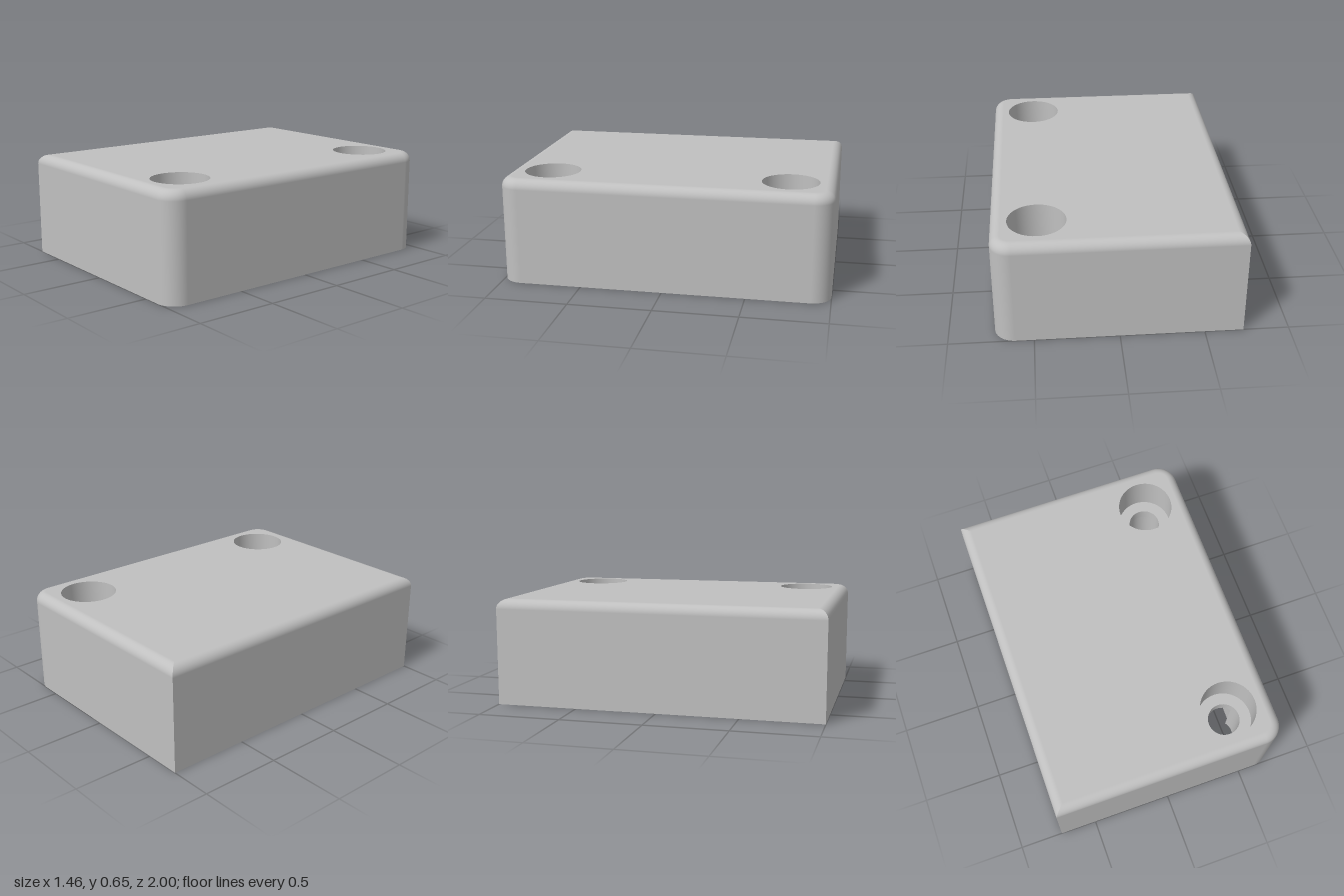
import * as THREE from 'three';
import { toCreasedNormals } from 'three/addons/utils/BufferGeometryUtils.js';

const HALF_X = 0.73, HALF_Z = 1, HEIGHT = 0.65;
const FILLET = 0.06, CORNER = 0.12;
const HOLE = { x: 0.46, z: 0.73, r: 0.1, boreR: 0.172, floor: 0.4 };
const POCKET = { x0: -0.7, x1: 0.565, z: 0.67, top: 0.32 };

const v2 = (x, z) => new THREE.Vector2(x, z);

// Points on an arc in the x-z plane
function arc(cx, cz, r, from, to, steps) {
  return Array.from({ length: steps + 1 }, (_, i) => {
    const a = from + (to - from) * i / steps;
    return v2(cx + r * Math.cos(a), cz + r * Math.sin(a));
  });
}

// Complete a loop from its +z half
const mirrorZ = (half) => [...half, ...half.map((p) => v2(p.x, -p.y)).reverse()];

// Body outline with outward directions: square at -x, rounded at +x
function bodyOutline(inset) {
  const a = HALF_X - inset, b = HALF_Z - inset, r = CORNER - inset;
  const half = [
    { p: v2(-a, b), n: v2(-1, 0) },
    { p: v2(-a, b), n: v2(0, 1) },
  ];
  for (let i = 0; i <= 12; i++) {
    const t = Math.PI / 2 * (1 - i / 12), n = v2(Math.cos(t), Math.sin(t));
    half.push({ p: v2(a - CORNER + inset + r * n.x, b - CORNER + inset + r * n.y), n });
  }
  const mirrored = half.map(({ p, n }) => ({ p: v2(p.x, -p.y), n: v2(n.x, -n.y) }));
  return [...half, ...mirrored.reverse()];
}

// Outer walls with the rounded upper edge
function shellGeometry() {
  const rings = [{ y: 0, inset: 0, t: 0 }];
  for (let i = 0; i <= 10; i++) {
    const t = Math.PI / 2 * i / 10;
    rings.push({ y: HEIGHT - FILLET * (1 - Math.sin(t)), inset: FILLET * (1 - Math.cos(t)), t });
  }
  const pos = [], nor = [], idx = [];
  let count = 0;
  rings.forEach(({ y, inset, t }, j) => {
    const loop = bodyOutline(inset);
    count = loop.length;
    loop.forEach(({ p, n }, i) => {
      pos.push(p.x, y, p.y);
      nor.push(n.x * Math.cos(t), Math.sin(t), n.y * Math.cos(t));
      if (j === 0) return;
      const k = (i + 1) % count, lo = (j - 1) * count, hi = j * count;
      idx.push(lo + i, lo + k, hi + k, lo + i, hi + k, hi + i);
    });
  });
  const g = new THREE.BufferGeometry();
  g.setAttribute('position', new THREE.Float32BufferAttribute(pos, 3));
  g.setAttribute('normal', new THREE.Float32BufferAttribute(nor, 3));
  g.setIndex(idx);
  return g;
}

// Upright wall around an opening, facing inwards
function innerWall(points, y0, y1) {
  const pos = [];
  points.forEach((a, i) => {
    const b = points[(i + 1) % points.length];
    pos.push(a.x, y0, a.y, b.x, y1, b.y, b.x, y0, b.y);
    pos.push(a.x, y0, a.y, a.x, y1, a.y, b.x, y1, b.y);
  });
  const g = new THREE.BufferGeometry();
  g.setAttribute('position', new THREE.Float32BufferAttribute(pos, 3));
  return toCreasedNormals(g, 0.5);
}

// Flat horizontal face with openings
function plate(points, holes, y, up) {
  const shape = new THREE.Shape(points);
  holes.forEach((h) => shape.holes.push(new THREE.Path(h)));
  return new THREE.ShapeGeometry(shape).rotateX(up ? -Math.PI / 2 : Math.PI / 2).translate(0, y, 0);
}

// Pocket outline, with each screw hole either added to it or cut from it
function pocketOutline(addHoles) {
  const bite = Math.asin((HOLE.z - POCKET.z) / HOLE.r);
  const end = addHoles ? -bite : 2 * Math.PI - bite;
  return mirrorZ([
    v2(POCKET.x0, POCKET.z),
    ...arc(HOLE.x, HOLE.z, HOLE.r, Math.PI + bite, end, addHoles ? 32 : 16),
    v2(POCKET.x1, POCKET.z),
  ]);
}

const circle = (z, r) => arc(HOLE.x, z, r, Math.PI, -Math.PI, 48).slice(0, -1);

export function createModel() {
  const grey = new THREE.MeshStandardMaterial({ color: 0xc0c0c0 });
  grey.name = 'grey';
  const model = new THREE.Group();
  model.name = 'mountingBlock';
  const add = (name, geometry) => {
    const mesh = new THREE.Mesh(geometry, grey);
    mesh.name = name;
    model.add(mesh);
  };

  // Outer body
  const outline = (inset) => bodyOutline(inset).map((o) => o.p)
    .filter((p, i, all) => i === 0 || !p.equals(all[i - 1]))
    .filter((p, i, all) => i === 0 || !p.equals(all[0]));
  const sides = [HOLE.z, -HOLE.z];
  add('outerShell', shellGeometry());
  add('topFace', plate(outline(FILLET), sides.map((z) => circle(z, HOLE.boreR)), HEIGHT, true));
  add('bottomFace', plate(outline(0), [pocketOutline(true)], 0, false));

  // Pocket underneath
  add('pocketWall', innerWall(pocketOutline(true), 0, POCKET.top));
  add('pocketCeiling', plate(pocketOutline(false), [], POCKET.top, false));

  // Counterbored screw holes
  sides.forEach((z) => {
    add('counterboreWall', innerWall(circle(z, HOLE.boreR), HOLE.floor, HEIGHT));
    add('counterboreFloor', plate(circle(z, HOLE.boreR), [circle(z, HOLE.r)], HOLE.floor, true));
    add('screwHoleWall', innerWall(circle(z, HOLE.r), POCKET.top, HOLE.floor));
  });
  return model;
}
